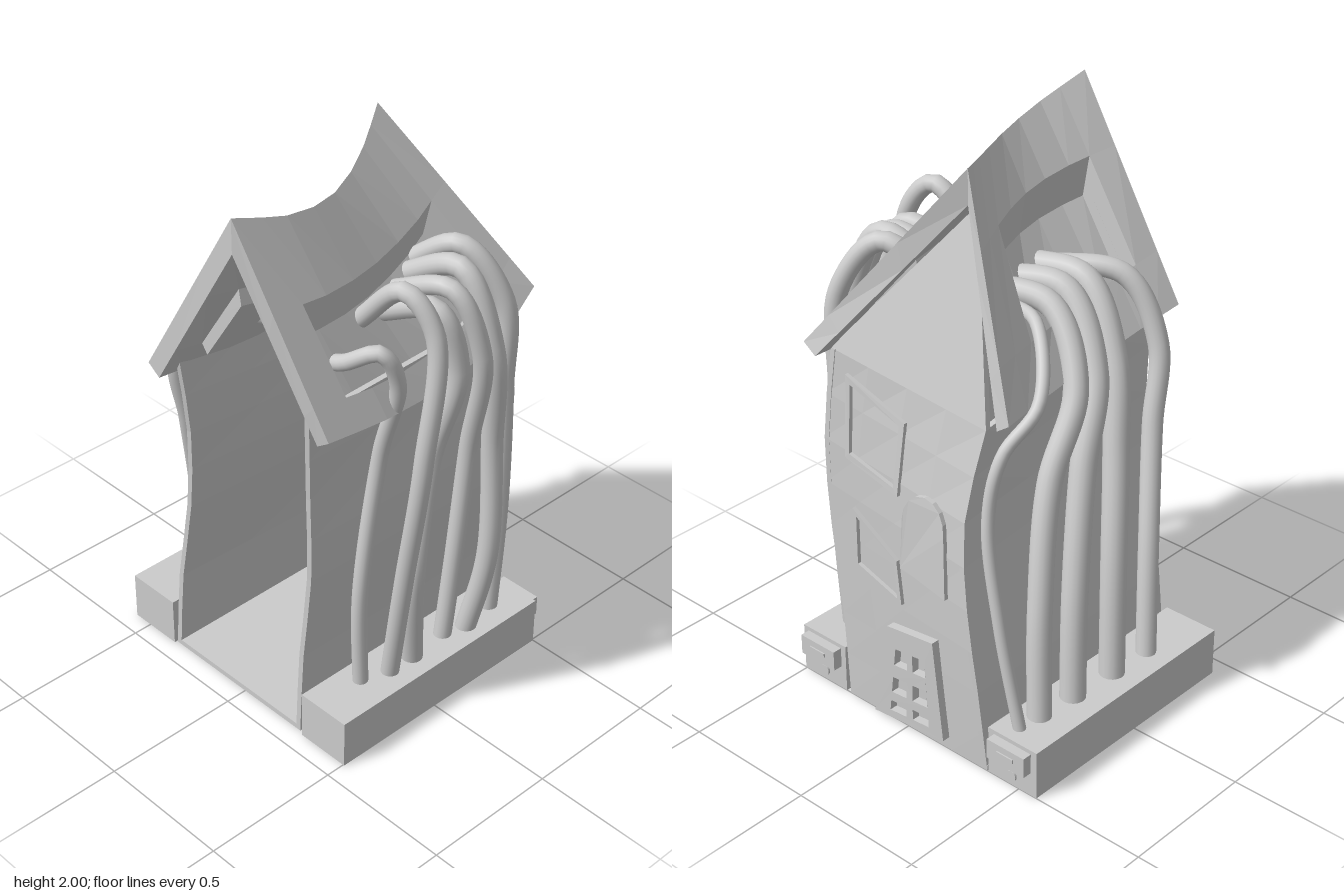
import * as THREE from 'three';

const V = (x, y, z) => new THREE.Vector3(x, y, z);
const curve = (pts) => new THREE.CatmullRomCurve3(pts.map((p) => V(...p)));
const flat = new THREE.MeshStandardMaterial({ color: 0xcccccc, flatShading: true, side: THREE.DoubleSide });
const smooth = new THREE.MeshStandardMaterial({ color: 0xcccccc });

function add(parent, name, geometry, material = flat) {
  const mesh = new THREE.Mesh(geometry, material);
  mesh.name = name;
  parent.add(mesh);
  return mesh;
}

function box(parent, name, x0, x1, y0, y1, z0, z1) {
  const mesh = add(parent, name, new THREE.BoxGeometry(x1 - x0, y1 - y0, z1 - z0));
  mesh.position.set((x0 + x1) / 2, (y0 + y1) / 2, (z0 + z1) / 2);
}

const steps = (n) => Array.from({ length: n + 1 }, (_, i) => i / n);

// Thick sheet between two curves; cells in the optional pocket are sunk to a deeper level
function slab(a, b, us, vs, offset, inPocket = () => false, depth = 1, warp = (u, v) => v) {
  const pos = [];
  const outer = (i, j) => a.getPoint(us[i]).lerp(b.getPoint(us[i]), warp(us[i], vs[j]));
  const inner = (i, j, k = 1) => outer(i, j).addScaledVector(offset(us[i], vs[j]), k);
  const quad = (p, q, r, s) => [p, q, r, p, r, s].forEach((c) => pos.push(c.x, c.y, c.z));
  const nu = us.length - 1, nv = vs.length - 1;
  const outside = (i, j) => i < 0 || j < 0 || i >= nu || j >= nv;
  const sunk = (i, j) => !outside(i, j) && inPocket((us[i] + us[i + 1]) / 2, (vs[j] + vs[j + 1]) / 2);
  for (let i = 0; i < nu; i++) for (let j = 0; j < nv; j++) {
    if (sunk(i, j)) {
      quad(inner(i, j, depth), inner(i, j + 1, depth), inner(i + 1, j + 1, depth), inner(i + 1, j, depth));
      continue;
    }
    quad(outer(i, j), outer(i, j + 1), outer(i + 1, j + 1), outer(i + 1, j));
    quad(inner(i, j), inner(i + 1, j), inner(i + 1, j + 1), inner(i, j + 1));
    const sides = [
      [i - 1, j, i, j, i, j + 1], [i + 1, j, i + 1, j + 1, i + 1, j],
      [i, j - 1, i + 1, j, i, j], [i, j + 1, i, j + 1, i + 1, j + 1],
    ];
    for (const [ni, nj, p, q, r, s] of sides) {
      const k = sunk(ni, nj) ? depth : 1;
      if (outside(ni, nj) || sunk(ni, nj)) quad(outer(p, q), inner(p, q, k), inner(r, s, k), outer(r, s));
    }
  }
  const g = new THREE.BufferGeometry();
  g.setAttribute('position', new THREE.Float32BufferAttribute(pos, 3));
  g.computeVertexNormals();
  return g;
}

// Bent corner lines of the house, from ground to eaves
const frontRight = curve([[0.5, 0, 0.28], [0.5, 0.33, 0.3], [0.5, 0.66, 0.34], [0.5, 0.99, 0.355], [0.48, 1.32, 0.33]]);
const backRight = curve([[0.5, 0, -0.36], [0.51, 0.3, -0.33], [0.51, 0.6, -0.285], [0.48, 0.9, -0.25], [0.39, 1.2, -0.26]]);
const frontLeft = curve([[-0.42, 0, 0.28], [-0.42, 0.34, 0.3], [-0.42, 0.68, 0.34], [-0.44, 1.02, 0.36], [-0.48, 1.36, 0.4]]);
const backLeft = curve([[-0.42, 0, -0.36], [-0.42, 0.33, -0.33], [-0.42, 0.66, -0.27], [-0.44, 0.99, -0.23], [-0.5, 1.32, -0.2]]);

// Surface of the gable wall at a given height and depth
function facadeX(y, z) {
  const s = THREE.MathUtils.clamp((0.34 - z) / 0.6, 0, 1);
  const t = Math.min(y / (1.32 - 0.12 * s), 1);
  const f = frontRight.getPoint(t), b = backRight.getPoint(t);
  return THREE.MathUtils.mapLinear(z, b.z, f.z, b.x, f.x);
}

// Flat outline given as [z, y], bent onto the gable wall
const outline = (pts) => pts.map(([z, y]) => new THREE.Vector2(-z, y));
function onFacade(parent, name, pts, holes, depth) {
  const shape = new THREE.Shape(outline(pts));
  holes.forEach((h) => shape.holes.push(new THREE.Path(outline(h))));
  const g = new THREE.ExtrudeGeometry(shape, { depth, bevelEnabled: false }).rotateY(Math.PI / 2);
  const p = g.attributes.position;
  for (let i = 0; i < p.count; i++) p.setX(i, p.getX(i) + facadeX(p.getY(i), p.getZ(i)));
  g.computeVertexNormals();
  add(parent, name, g);
}
// Point at fraction (s, t) inside a four-cornered outline: bottom front, bottom back, top back, top front
const within = (c, s, t) => [0, 1].map((k) => (c[0][k] * (1 - s) + c[1][k] * s) * (1 - t) + (c[3][k] * (1 - s) + c[2][k] * s) * t);
const pane = (c, s0, s1, t0, t1) => [[s0, t0], [s1, t0], [s1, t1], [s0, t1]].map(([s, t]) => within(c, s, t));

function buildHouse(group) {
  const house = new THREE.Group();
  house.name = 'house';
  group.add(house);
  const rows = steps(8);
  add(house, 'frontWall', slab(frontLeft, frontRight, rows, steps(3), () => V(0, 0, -0.02)));
  add(house, 'backWall', slab(backLeft, backRight, rows, steps(3), () => V(0, 0, 0.02)));
  add(house, 'gableWall', slab(frontRight, backRight, rows, steps(4), () => V(-0.02, 0, 0)));
  const apex = V(0.215, 1.845, -0.07);
  add(house, 'gableTop', slab(
    new THREE.LineCurve3(frontRight.getPoint(1), backRight.getPoint(1)),
    new THREE.LineCurve3(apex, apex.clone()), steps(4), steps(3), () => V(-0.02, 0, 0)));
  box(house, 'floor', -0.42, 0.5, 0, 0.02, -0.36, 0.28);

  // Door with six panes
  const door = [[0.13, 0.02], [-0.19, 0.05], [-0.155, 0.43], [0.055, 0.4]];
  const panes = [];
  for (const s of [0.22, 0.56]) for (const [t, h] of [[0.08, 0.11], [0.29, 0.17], [0.6, 0.18]]) panes.push(pane(door, s, s + 0.24, t, t + h));
  onFacade(house, 'door', door, panes, 0.03);

  // Crooked windows
  const windows = [
    [[0.25, 0.96], [0.02, 0.9], [0.02, 1.15], [0.26, 1.25]],
    [[0.22, 0.56], [0, 0.5], [0.02, 0.66], [0.22, 0.78]],
  ];
  for (const w of windows) onFacade(house, 'windowFrame', w, [pane(w, 0.08, 0.92, 0.08, 0.92)], 0.014);
  const arch = [[0, 0.65], [-0.2, 0.61]];
  for (let i = 0; i <= 8; i++) {
    const a = (i / 8) * Math.PI;
    arch.push([-0.095 - 0.09 * Math.cos(a), 0.83 + 0.11 * Math.sin(a)]);
  }
  onFacade(house, 'archedWindow', arch, [], 0.016);
}

function buildRoof(group) {
  const ridge = curve([[-0.575, 2, 0.18], [-0.35, 1.935, 0.2], [-0.14, 1.91, 0.155], [0.07, 1.93, 0.05], [0.27, 1.985, -0.08]]);
  const eaves = {
    frontRoof: curve([[-0.47, 1.31, 0.475], [-0.2, 1.29, 0.485], [0.06, 1.28, 0.46], [0.32, 1.31, 0.43], [0.575, 1.37, 0.35]]),
    backRoof: curve([[-0.555, 1.29, -0.265], [-0.33, 1.27, -0.265], [-0.1, 1.255, -0.28], [0.14, 1.25, -0.31], [0.39, 1.25, -0.355]]),
  };
  const us = [0, 0.12, 0.22, 0.36, 0.5, 0.64, 0.78, 0.89, 1];
  for (const [name, eave] of Object.entries(eaves)) {
    const side = name === 'frontRoof' ? 1 : -1;
    const [v0, v1, u1] = side > 0 ? [0.42, 0.84, 0.89] : [0.32, 0.77, 0.78];
    // Mitred at the ridge, cut square at the eave
    const offset = (u, v) => V(0, -0.12, 0).lerp(V(0, -0.035, -0.05 * side), v);
    const pocket = (u, v) => u > 0.12 && u < u1 && v > v0 && v < v1;
    // Straightens the top of the pocket under the sagging ridge
    const warp = (u, v) => (v === v0 ? v - 0.06 * Math.sin(Math.PI * u) : v);
    add(group, name, slab(ridge, eave, us, [0, v0, v1, 1], offset, pocket, 1.6, warp));
  }
}

function buildBases(group) {
  for (const [name, z0, z1] of [['frontBase', 0.3, 0.505], ['backBase', -0.575, -0.365]]) {
    const base = new THREE.Group();
    base.name = name;
    group.add(base);
    const mid = (z0 + z1) / 2;
    box(base, 'block', -0.43, 0.5, 0, 0.18, z0, z1);
    box(base, 'socket', 0.5, 0.535, 0.09, 0.165, mid - 0.08, mid + 0.08);
    box(base, 'socketSlot', 0.535, 0.54, 0.125, 0.14, mid - 0.035, mid + 0.035);
    const knob = add(base, 'knob', new THREE.CylinderGeometry(0.02, 0.02, 0.02, 16).rotateZ(Math.PI / 2), smooth);
    knob.position.set(0.497, 0.04, mid);
  }
}

// Tubes rise from each base and plug into the roof pockets: [radius, path]
function buildTubes(group) {
  const tubes = {
    frontTube: [
      [0.027, [[-0.235, 0.15, 0.38], [-0.24, 0.55, 0.38], [-0.18, 1.1, 0.405], [-0.185, 1.4, 0.48], [-0.24, 1.52, 0.46], [-0.29, 1.46, 0.35], [-0.29, 1.42, 0.24]]],
      [0.032, [[-0.13, 0.15, 0.41], [-0.14, 0.6, 0.48], [-0.13, 1.1, 0.545], [-0.08, 1.55, 0.53], [-0.11, 1.67, 0.43], [-0.13, 1.5, 0.25]]],
      [0.037, [[-0.02, 0.15, 0.41], [-0.07, 0.6, 0.46], [0.01, 1, 0.44], [0.06, 1.35, 0.5], [0.01, 1.56, 0.45], [-0.03, 1.48, 0.22]]],
      [0.032, [[0.135, 0.15, 0.4], [0.17, 0.5, 0.41], [0.2, 0.95, 0.43], [0.17, 1.35, 0.5], [0.11, 1.58, 0.42], [0.06, 1.5, 0.18]]],
      [0.037, [[0.225, 0.15, 0.42], [0.26, 0.5, 0.48], [0.27, 0.95, 0.47], [0.23, 1.35, 0.49], [0.19, 1.61, 0.38], [0.15, 1.5, 0.14]]],
      [0.034, [[0.365, 0.15, 0.4], [0.385, 0.6, 0.41], [0.37, 1.1, 0.42], [0.35, 1.45, 0.42], [0.27, 1.63, 0.3], [0.2, 1.52, 0.12]]],
    ],
    backTube: [
      [0.022, [[0.435, 0.15, -0.45], [0.44, 0.55, -0.36], [0.42, 0.9, -0.295], [0.37, 1.12, -0.31], [0.24, 1.26, -0.345], [0.09, 1.44, -0.2], [0.04, 1.44, -0.04]]],
      [0.036, [[-0.17, 0.15, -0.48], [-0.24, 0.55, -0.42], [-0.34, 0.95, -0.34], [-0.4, 1.22, -0.305], [-0.37, 1.44, -0.18], [-0.22, 1.46, 0.06]]],
      [0.045, [[0, 0.15, -0.47], [-0.05, 0.6, -0.425], [-0.12, 0.95, -0.365], [-0.18, 1.24, -0.3], [-0.21, 1.47, -0.15], [-0.17, 1.48, 0.06]]],
      [0.045, [[0.19, 0.15, -0.46], [0.14, 0.55, -0.42], [0.04, 0.95, -0.36], [-0.07, 1.24, -0.31], [-0.11, 1.47, -0.15], [-0.04, 1.48, 0.05]]],
      [0.042, [[0.345, 0.15, -0.45], [0.29, 0.55, -0.4], [0.18, 0.95, -0.34], [0.04, 1.23, -0.325], [-0.02, 1.45, -0.17], [0.04, 1.48, 0.04]]],
    ],
  };
  for (const [name, list] of Object.entries(tubes))
    for (const [r, path] of list) add(group, name, new THREE.TubeGeometry(curve(path), 60, r, 16), smooth);
}

export function createModel() {
  const group = new THREE.Group();
  group.name = 'crookedHouse';
  buildHouse(group);
  buildRoof(group);
  buildBases(group);
  buildTubes(group);
  return group;
}
